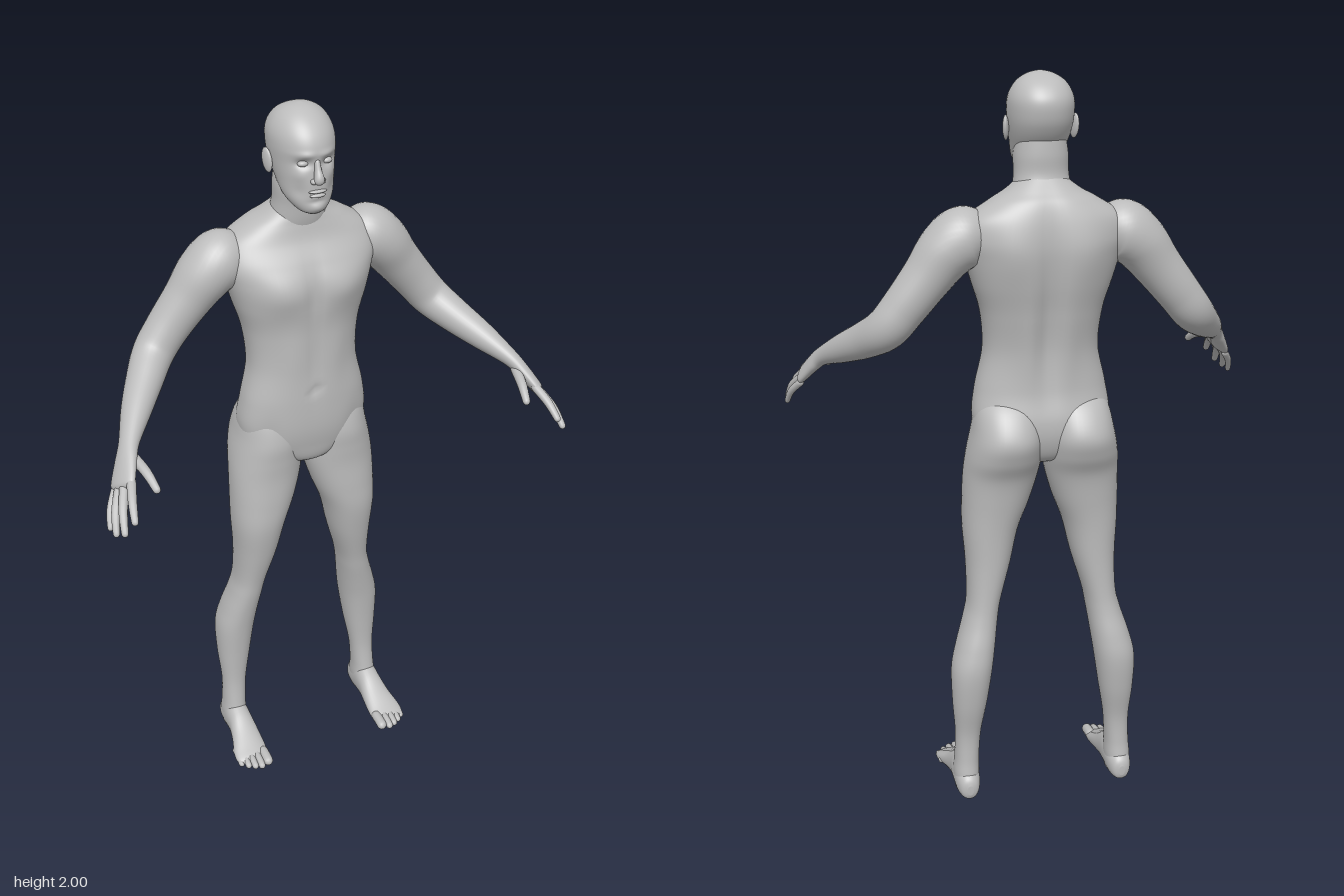
import * as THREE from 'three';
import { mergeVertices } from 'three/addons/utils/BufferGeometryUtils.js';

const skin = new THREE.MeshStandardMaterial({ color: 0xbcbcbc });
skin.name = 'skin grey';

// Catmull-Rom through rows of numbers, t in 0..1
function spline(rows, t) {
  const n = rows.length - 1;
  const i = Math.min(n - 1, Math.floor(t * n));
  const f = t * n - i;
  const [p0, p1, p2, p3] = [-1, 0, 1, 2].map((k) => rows[Math.min(n, Math.max(0, i + k))]);
  return p1.map((b, k) => {
    const a = p0[k], c = p2[k], d = p3[k];
    return b + 0.5 * f * (c - a + f * (2 * a - 5 * b + 4 * c - d + f * (3 * (b - c) + d - a)));
  });
}

// Closed skin over a grid of rings; ring(i, angle) returns [x, y, z]
function skinOver(rings, sides, ring, flip) {
  const pos = [], index = [];
  for (let i = 0; i <= rings; i++) {
    for (let j = 0; j < sides; j++) pos.push(...ring(i, (j / sides) * Math.PI * 2));
  }
  const quad = (a, b, c, d) => (flip ? index.push(a, c, b, c, d, b) : index.push(a, b, c, c, b, d));
  for (let i = 0; i < rings; i++) {
    for (let j = 0; j < sides; j++) {
      const k = (j + 1) % sides;
      quad(i * sides + j, (i + 1) * sides + j, i * sides + k, (i + 1) * sides + k);
    }
  }
  // End caps
  for (const [row, turn] of [[0, false], [rings, true]]) {
    const c = [0, 0, 0], centre = pos.length / 3;
    for (let j = 0; j < sides; j++) for (let k = 0; k < 3; k++) c[k] += pos[(row * sides + j) * 3 + k] / sides;
    pos.push(...c);
    for (let j = 0; j < sides; j++) {
      const a = row * sides + j, b = row * sides + ((j + 1) % sides);
      if (turn !== Boolean(flip)) index.push(centre, b, a);
      else index.push(centre, a, b);
    }
  }
  let geo = new THREE.BufferGeometry();
  geo.setAttribute('position', new THREE.Float32BufferAttribute(pos, 3));
  geo.setIndex(index);
  geo = mergeVertices(geo, 1e-5);
  geo.computeVertexNormals();
  return geo;
}

// Loft of flat sections [along, centreX, halfWidth, front, back]; along y, or along z for feet
function slab(rows, { sides = 48, power = 2.2, alongZ = false, shape = null, steps = 6 } = {}) {
  const rings = (rows.length - 1) * steps;
  const round = (v) => Math.sign(v) * Math.abs(v) ** (2 / power);
  return skinOver(rings, sides, (i, angle) => {
    const [along, cx, w, f, b] = spline(rows, i / rings);
    const s = round(Math.sin(angle));
    let x = cx + w * round(Math.cos(angle));
    let depth = (f + b) / 2 + ((f - b) / 2) * s;
    if (shape) [x, depth] = shape(x, along, depth, s);
    return alongZ ? [x, depth, along] : [x, along, depth];
  }, alongZ !== (rows[0][0] > rows[rows.length - 1][0]));
}

// Round-ended limb through [x, y, z, radiusA, radiusB]; radiusA lies along the hand's width
const across = new THREE.Vector3(-0.45, 0.45, 0.77).normalize();
function limb(rows, sides = 16, steps = 6, ref = across) {
  const rings = (rows.length - 1) * steps + 8;
  const at = (t) => new THREE.Vector3(...spline(rows, t));
  const first = at(0), last = at(1);
  return skinOver(rings, sides, (i, angle) => {
    const t = (1 - Math.cos((Math.PI * i) / rings)) / 2;
    const [x, y, z, a, b] = spline(rows, t);
    const p = new THREE.Vector3(x, y, z);
    const T = at(Math.min(1, t + 0.01)).sub(at(Math.max(0, t - 0.01))).normalize();
    const u = ref.clone().addScaledVector(T, -ref.dot(T)).normalize();
    const v = u.clone().cross(T);
    const near = Math.min(1, Math.min(p.distanceTo(first), p.distanceTo(last)) / Math.min(a, b));
    const cap = Math.max(0.02, Math.sqrt(1 - (1 - near) ** 2));
    return p.addScaledVector(u, a * cap * Math.cos(angle)).addScaledVector(v, b * cap * Math.sin(angle)).toArray();
  });
}

function ellipsoid(x, y, z, rx, ry, rz) {
  return new THREE.SphereGeometry(1, 20, 14).scale(rx, ry, rz).translate(x, y, z);
}

function mirrored(geo) {
  const g = geo.clone().scale(-1, 1, 1);
  const ix = g.index.array;
  for (let i = 0; i < ix.length; i += 3) [ix[i], ix[i + 1]] = [ix[i + 1], ix[i]];
  g.computeVertexNormals();
  return g;
}

// Soft muscle relief: [x, y, widthX, widthY, outward amount], on both halves
function relief(front, back) {
  return (x, y, z, s) => {
    const sum = (list) => list.reduce((h, [bx, by, rx, ry, amount]) =>
      h + amount * Math.exp(-(((Math.abs(x) - bx) / rx) ** 2) - ((y - by) / ry) ** 2), 0);
    return [x, s > 0 ? z + s * sum(front) : z + s * sum(back)];
  };
}

export function createModel() {
  const model = new THREE.Group();
  model.name = 'human figure';
  const add = (name, geo) => {
    const mesh = new THREE.Mesh(geo, skin);
    mesh.name = name;
    model.add(mesh);
  };
  const pair = (name, geo) => {
    add('left' + name, geo);
    add('right' + name, mirrored(geo));
  };

  // Trunk: pelvis, waist, chest and trapezius
  add('torso', slab([
    [0.985, 0, 0.03, -0.07, -0.15], [1.01, 0, 0.09, -0.036, -0.2], [1.06, 0, 0.165, -0.022, -0.225],
    [1.12, 0, 0.184, -0.013, -0.23], [1.2, 0, 0.174, -0.012, -0.215], [1.3, 0, 0.153, -0.017, -0.214],
    [1.4, 0, 0.16, -0.016, -0.232], [1.48, 0, 0.183, -0.01, -0.248], [1.55, 0, 0.203, -0.013, -0.255],
    [1.6, 0, 0.215, -0.03, -0.254], [1.65, 0, 0.198, -0.058, -0.246], [1.69, 0, 0.14, -0.07, -0.232],
    [1.715, 0, 0.095, -0.075, -0.212], [1.75, 0, 0.05, -0.085, -0.18],
  ], {
    sides: 72, power: 2.35, steps: 8,
    shape: relief(
      [[0.09, 1.53, 0.07, 0.055, 0.016], [0, 1.52, 0.018, 0.08, -0.008], [0.06, 1.33, 0.035, 0.09, 0.005],
        [0, 1.33, 0.012, 0.12, -0.004], [0, 1.235, 0.01, 0.012, -0.008], [0.13, 1.1, 0.03, 0.06, -0.006]],
      [[0, 1.42, 0.028, 0.2, -0.02], [0.1, 1.57, 0.055, 0.08, 0.01], [0.05, 1.3, 0.03, 0.1, 0.005]]),
  }));

  // Neck and head
  add('neck', slab([
    [1.64, 0, 0.085, -0.085, -0.225], [1.7, 0, 0.077, -0.068, -0.202], [1.75, 0, 0.07, -0.06, -0.183],
    [1.8, 0, 0.069, -0.05, -0.183], [1.85, 0, 0.06, -0.06, -0.18],
  ]));
  add('head', slab([
    [1.743, 0, 0.018, -0.015, -0.045], [1.755, 0, 0.04, -0.004, -0.075], [1.785, 0, 0.063, -0.001, -0.125],
    [1.83, 0, 0.074, 0, -0.175], [1.87, 0, 0.081, -0.003, -0.202], [1.905, 0, 0.084, -0.001, -0.212],
    [1.935, 0, 0.082, -0.01, -0.211], [1.96, 0, 0.072, -0.028, -0.197], [1.98, 0, 0.055, -0.052, -0.174],
    [1.994, 0, 0.03, -0.08, -0.142], [2, 0, 0.003, -0.107, -0.113],
  ], {
    sides: 96, steps: 10,
    shape: (x, y, z, s) => relief(
      [[0.033, 1.877, 0.017, 0.011, -0.013], [0.03, 1.9, 0.025, 0.008, 0.004], [0, 1.763, 0.02, 0.012, 0.005],
        [0.045, 1.848, 0.016, 0.014, 0.004], [0.045, 1.805, 0.016, 0.018, -0.005], [0, 1.779, 0.02, 0.006, -0.003]],
      [])(x * (1 - 0.1 * Math.max(0, s)), y, z, s),
  }));
  add('nose', limb([
    [0, 1.888, -0.009, 0.007, 0.008], [0, 1.862, -0.001, 0.009, 0.011],
    [0, 1.841, 0.008, 0.013, 0.013], [0, 1.827, 0.006, 0.013, 0.01],
  ], 20, 6, new THREE.Vector3(1, 0, 0)));
  pair('Nostril', ellipsoid(0.012, 1.834, 0.001, 0.008, 0.007, 0.01));
  pair('Eye', ellipsoid(0.032, 1.877, -0.02, 0.014, 0.008, 0.011));
  add('upperLip', ellipsoid(0, 1.807, -0.001, 0.025, 0.0048, 0.0085));
  add('lowerLip', ellipsoid(0, 1.796, -0.002, 0.021, 0.0055, 0.0085));
  const ear = ellipsoid(0, 0, 0, 0.008, 0.032, 0.018).rotateX(-0.2).rotateY(-0.3);
  pair('Ear', ear.translate(0.088, 1.863, -0.113));

  // Legs, with the buttock as the upper lobe
  pair('Leg', slab([
    [1.2, 0.09, 0.045, -0.07, -0.16], [1.15, 0.094, 0.08, -0.038, -0.224], [1.08, 0.098, 0.093, -0.022, -0.262],
    [1.02, 0.104, 0.1, -0.024, -0.25], [0.96, 0.111, 0.1, -0.027, -0.222], [0.88, 0.124, 0.09, -0.025, -0.208],
    [0.8, 0.139, 0.075, -0.027, -0.2], [0.7, 0.148, 0.06, -0.045, -0.197], [0.6, 0.163, 0.046, -0.068, -0.199],
    [0.54, 0.175, 0.047, -0.078, -0.206], [0.47, 0.191, 0.053, -0.09, -0.222], [0.4, 0.204, 0.056, -0.1, -0.23],
    [0.3, 0.211, 0.048, -0.11, -0.218], [0.2, 0.216, 0.036, -0.115, -0.197], [0.12, 0.22, 0.034, -0.108, -0.196],
    [0.07, 0.222, 0.036, -0.1, -0.202], [0.02, 0.222, 0.032, -0.1, -0.206],
  ]));

  // Feet: sections run from heel to ball, top and sole in the last two columns
  pair('Foot', slab([
    [-0.217, 0.222, 0.008, 0.05, 0.022], [-0.208, 0.222, 0.024, 0.07, 0.006], [-0.18, 0.222, 0.034, 0.09, 0],
    [-0.13, 0.222, 0.037, 0.112, 0], [-0.09, 0.222, 0.038, 0.1, 0.004], [-0.045, 0.224, 0.044, 0.071, 0.004],
    [0, 0.229, 0.051, 0.045, 0], [0.03, 0.23, 0.048, 0.03, 0.002], [0.042, 0.228, 0.036, 0.022, 0.008],
  ], { alongZ: true, sides: 32 }));
  [[0.193, 0.074, 0.015], [0.216, 0.078, 0.0105], [0.235, 0.071, 0.01], [0.253, 0.06, 0.0095], [0.27, 0.044, 0.009]]
    .forEach(([x, tip, r], i) => pair('Toe' + (i + 1), limb([
      [x, 0.022, tip - 0.07, r, r], [x, 0.02, tip - 0.035, r, r], [x, r, tip, r, r],
    ], 12, 4, new THREE.Vector3(1, 0, 0))));

  // Arms, from the deltoid to the palm
  pair('Arm', limb([
    [0.13, 1.615, -0.155, 0.06, 0.06], [0.2, 1.605, -0.152, 0.078, 0.078], [0.25, 1.57, -0.152, 0.078, 0.074],
    [0.3, 1.508, -0.155, 0.064, 0.064], [0.36, 1.433, -0.155, 0.056, 0.058], [0.405, 1.377, -0.142, 0.054, 0.055],
    [0.45, 1.336, -0.085, 0.05, 0.048], [0.5, 1.296, -0.01, 0.041, 0.038], [0.545, 1.258, 0.065, 0.03, 0.024],
    [0.566, 1.232, 0.1, 0.036, 0.02], [0.588, 1.198, 0.138, 0.043, 0.017], [0.597, 1.182, 0.155, 0.04, 0.014],
  ], 32, 8));

  // Fingers: knuckle, middle joint, tip, radius
  const fingers = {
    Thumb: [[0.552, 1.238, 0.085], [0.534, 1.222, 0.16], [0.522, 1.19, 0.214], 0.013],
    IndexFinger: [[0.572, 1.212, 0.155], [0.589, 1.18, 0.212], [0.599, 1.142, 0.258], 0.0115],
    MiddleFinger: [[0.588, 1.195, 0.148], [0.612, 1.155, 0.203], [0.624, 1.108, 0.248], 0.0115],
    RingFinger: [[0.598, 1.182, 0.135], [0.626, 1.143, 0.184], [0.639, 1.095, 0.222], 0.011],
    LittleFinger: [[0.604, 1.172, 0.12], [0.632, 1.134, 0.157], [0.644, 1.093, 0.187], 0.0095],
  };
  for (const [name, [a, b, c, r]] of Object.entries(fingers)) {
    pair(name, limb([[...a, r * 1.1, r * 1.1], [...b, r, r], [...c, r * 0.75, r * 0.75]], 12, 6));
  }
  return model;
}
